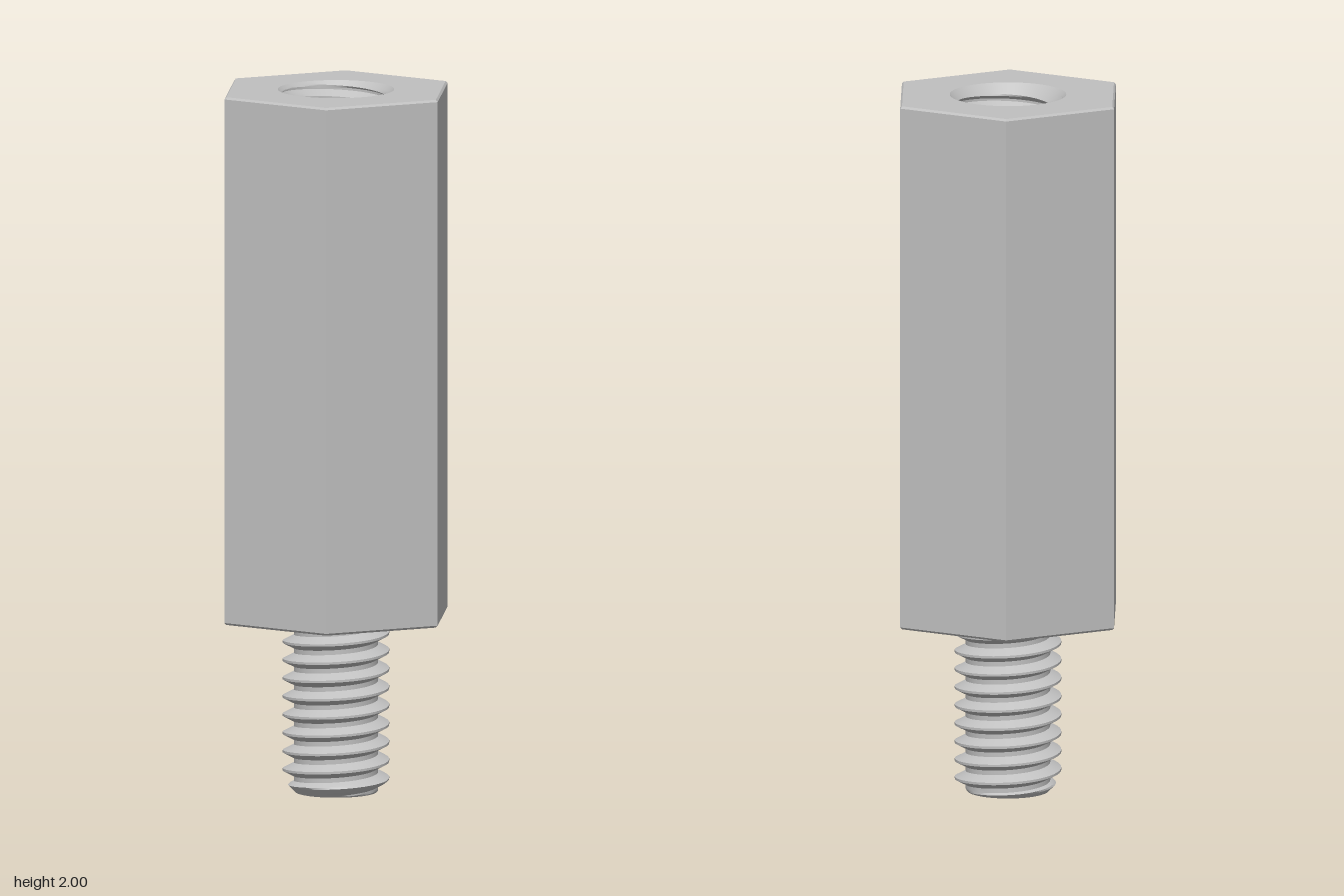
import * as THREE from 'three';
import { toCreasedNormals } from 'three/addons/utils/BufferGeometryUtils.js';

const PITCH = 0.052;
const SEGMENTS = 48;

// Radius of a right-hand V thread at a phase of 0..1 within one pitch
function threadRadius(phase, root, crest) {
  const u = phase - Math.floor(phase);
  if (u < 0.25) return root;
  if (u < 0.56) return root + (crest - root) * (u - 0.25) / 0.31;
  if (u < 0.69) return crest;
  return crest - (crest - root) * (u - 0.69) / 0.31;
}

// Helical surface between y0 and y1; limit(r, y) cuts the end chamfer
function threadGeometry(y0, y1, root, crest, limit, inward) {
  const corners = [0, 0.25, 0.56, 0.69, 1];
  const stations = [];
  for (let k = -2; k * PITCH < y1 - y0 + PITCH; k++) {
    for (let c = 0; c < 4; c++) {
      for (let s = 0; s < 3; s++) {
        stations.push(k + corners[c] + (corners[c + 1] - corners[c]) * s / 3);
      }
    }
  }
  const point = (station, i) => {
    const turn = i / SEGMENTS;
    const y = Math.min(y1, Math.max(y0, y0 + (station + turn) * PITCH));
    const r = limit(threadRadius((y - y0) / PITCH - turn + 1e-7, root, crest), y);
    const a = (i % SEGMENTS) / SEGMENTS * Math.PI * 2;
    return new THREE.Vector3(r * Math.cos(a), y, -r * Math.sin(a));
  };
  const positions = [];
  const triangle = (a, b, c) => {
    const area = b.clone().sub(a).cross(c.clone().sub(a)).length();
    if (area < 1e-9) return;
    for (const p of inward ? [a, c, b] : [a, b, c]) positions.push(p.x, p.y, p.z);
  };
  for (let j = 0; j < stations.length - 1; j++) {
    for (let i = 0; i < SEGMENTS; i++) {
      const a = point(stations[j], i), b = point(stations[j], i + 1);
      const c = point(stations[j + 1], i + 1), d = point(stations[j + 1], i);
      triangle(a, b, d);
      triangle(c, d, b);
    }
  }
  const geometry = new THREE.BufferGeometry();
  geometry.setAttribute('position', new THREE.Float32BufferAttribute(positions, 3));
  return toCreasedNormals(geometry, 0.5);
}

export function createModel() {
  const group = new THREE.Group();
  const steel = new THREE.MeshStandardMaterial({ color: 0xc0c0c0 });
  steel.name = 'steel';

  const add = (name, geometry, y = 0, tilt = 0) => {
    const mesh = new THREE.Mesh(geometry, steel);
    mesh.name = name;
    mesh.position.y = y;
    mesh.rotation.x = tilt;
    group.add(mesh);
  };

  const R = 0.3475, BEVEL = 0.006, BOTTOM = 0.497, TOP = 2;
  const HOLE = 0.164, FLOOR = 1.2;

  // Hexagonal body with fine bevels, open at the top
  const profile = [[0, BOTTOM], [R - BEVEL, BOTTOM], [R, BOTTOM + BEVEL], [R, TOP - BEVEL], [R - BEVEL, TOP]]
    .map(([x, y]) => new THREE.Vector2(x, y));
  const body = new THREE.LatheGeometry(profile, 6, Math.PI / 2).toNonIndexed();
  body.computeVertexNormals();
  add('hexBody', body);

  // Top face with round opening
  const hex = new THREE.Shape();
  for (let i = 0; i < 6; i++) {
    const a = i * Math.PI / 3, r = R - BEVEL;
    hex[i ? 'lineTo' : 'moveTo'](r * Math.cos(a), r * Math.sin(a));
  }
  hex.closePath();
  const opening = new THREE.Path();
  opening.absarc(0, 0, HOLE, 0, Math.PI * 2, true);
  hex.holes.push(opening);
  add('topFace', new THREE.ShapeGeometry(hex, SEGMENTS / 2), TOP, -Math.PI / 2);

  // Threaded socket with countersink, and its flat floor
  add('socketThread', threadGeometry(FLOOR, TOP, 0.127, 0.153,
    (r, y) => Math.max(r, HOLE - (TOP - y)), true));
  add('socketFloor', new THREE.CircleGeometry(0.155, SEGMENTS), FLOOR, -Math.PI / 2);

  // Threaded stud with chamfered tip, and its end face
  add('studThread', threadGeometry(0, BOTTOM, 0.119, 0.15,
    (r, y) => Math.min(r, 0.115 + y), false));
  add('studEnd', new THREE.CircleGeometry(0.115, SEGMENTS), 0, Math.PI / 2);

  return group;
}
